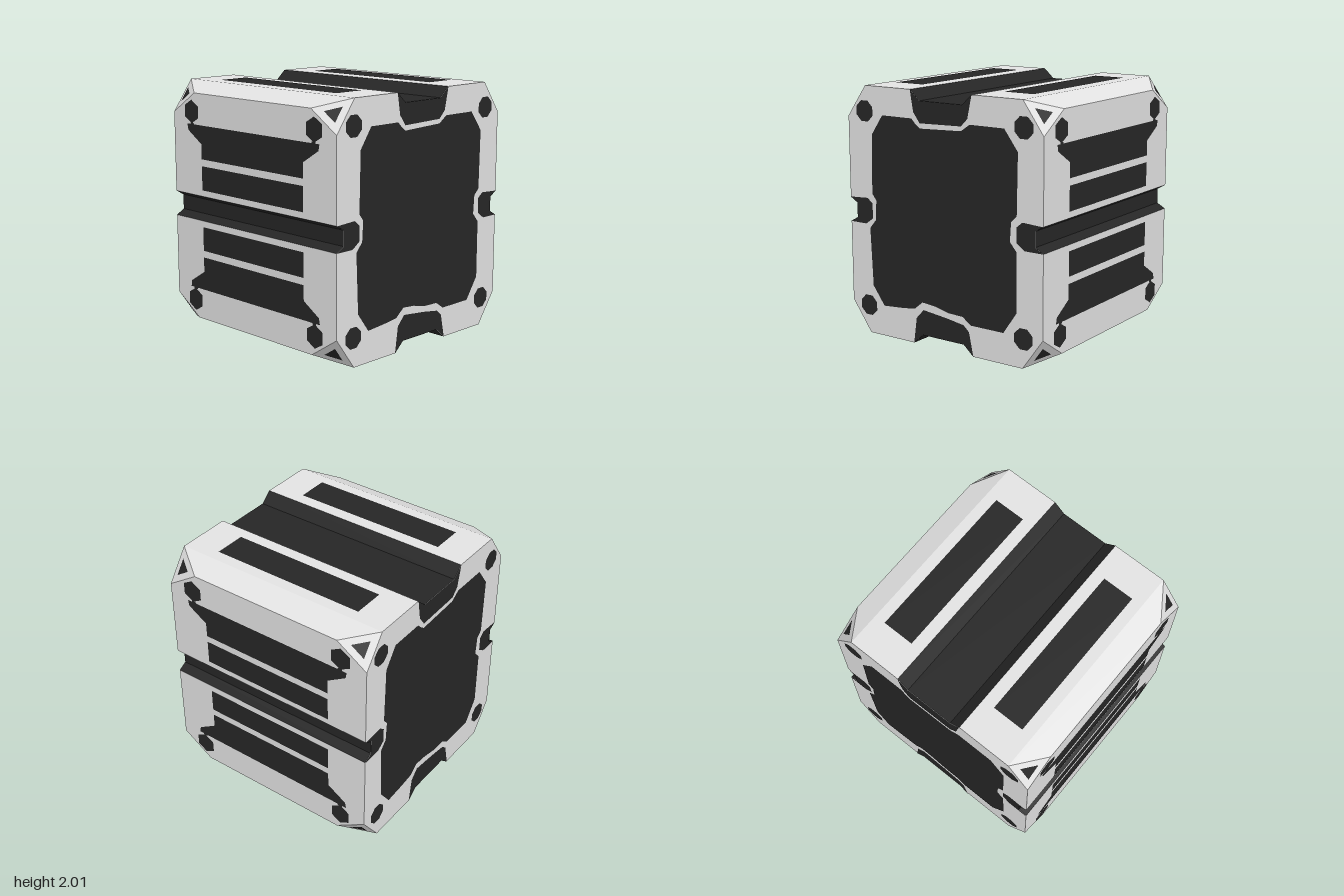
import * as THREE from 'three';

const shellMat = new THREE.MeshStandardMaterial({ color: 0xe2e2e2 });
shellMat.name = 'light grey shell';
const darkMat = new THREE.MeshStandardMaterial({ color: 0x262626 });
darkMat.name = 'near black inlay';

const W = 0.92;          // half width and half depth
const LIFT = 0.003;      // height of inlays above the shell
const SIGNS = [1, -1];

// Flat mesh from planar polygons (arrays of [x, y, z], y measured from the cube centre), facing outward
function faces(name, material, polygons, lift = 0) {
  const pos = [];
  for (const poly of polygons) {
    let p = poly.map((c) => new THREE.Vector3(...c));
    const normalOf = (q) => q.reduce((n, a, i) => n.add(a.clone().cross(q[(i + 1) % q.length])), new THREE.Vector3());
    const centre = p.reduce((s, a) => s.add(a), new THREE.Vector3());
    let n = normalOf(p).normalize();
    if (n.dot(centre) < 0) {
      p = p.reverse();
      n.negate();
    }
    // Two axes lying in the plane of the polygon
    const u = p[1].clone().sub(p[0]).normalize();
    const v = n.clone().cross(u);
    const flat = p.map((a) => new THREE.Vector2(a.dot(u), a.dot(v)));
    for (const tri of THREE.ShapeUtils.triangulateShape(flat, [])) {
      for (const i of tri) {
        const a = p[i].clone().addScaledVector(n, lift);
        pos.push(a.x, a.y + 1, a.z);
      }
    }
  }
  const geo = new THREE.BufferGeometry();
  geo.setAttribute('position', new THREE.Float32BufferAttribute(pos, 3));
  geo.computeVertexNormals();
  const mesh = new THREE.Mesh(geo, material);
  mesh.name = name;
  return mesh;
}

const disc = (cx, cy, r, sides, turn) => Array.from({ length: sides }, (_, i) => {
  const a = turn + (i / sides) * Math.PI * 2;
  return [cx + r * Math.cos(a), cy + r * Math.sin(a)];
});
const rect = (a0, a1, b0, b1) => [[a0, b0], [a1, b0], [a1, b1], [a0, b1]];

// Placement of 2D outlines on the faces of the cube
const onEnd = (pts, s) => pts.map(([x, y]) => [s * x, y, s * W]);
const onSide = (pts, s, sy = 1) => pts.map(([z, y]) => [s * W, sy * y, z]);
const onTop = (pts, s, sx = 1) => pts.map(([x, z]) => [sx * x, s, z]);

// One quarter of the end outline, with half of each groove
const quarter = [[0.85, 0.06], [W, 0.1], [W, 0.75], [0.74, 1], [0.29, 1], [0.2, 0.92]];
const flipX = (q) => q.map(([x, y]) => [-x, y]).reverse();
const upper = [...quarter, ...flipX(quarter)];
const endOutline = [...upper, ...upper.map(([x, y]) => [-x, -y])];

// Large end panel
const endPanel = [
  [-0.57, 0.78], [-0.28, 0.78], [-0.24, 0.74], [-0.2, 0.71], [0.19, 0.725], [0.27, 0.78], [0.58, 0.78],
  [0.7, 0.62], [0.69, 0.15], [0.64, 0.1], [0.63, -0.05], [0.69, -0.12], [0.69, -0.58], [0.57, -0.755],
  [0.27, -0.755], [0.19, -0.7], [0.05, -0.695], [-0.08, -0.665], [-0.2, -0.655], [-0.28, -0.72],
  [-0.4, -0.735], [-0.59, -0.75], [-0.7, -0.6], [-0.72, -0.13], [-0.66, -0.06], [-0.65, 0.1],
  [-0.69, 0.15], [-0.68, 0.62],
];
// Dark patches where the grooves run out onto the ends
const groovePatches = [
  [[-0.29, 1], [-0.26, 0.83], [-0.2, 0.75], [0.19, 0.76], [0.25, 0.82], [0.29, 1], [0.2, 0.92], [-0.2, 0.92]],
  [[-0.29, -1], [-0.26, -0.79], [-0.19, -0.715], [0.04, -0.74], [0.2, -0.765], [0.25, -0.81], [0.29, -1],
    [0.2, -0.92], [-0.2, -0.92]],
  ...SIGNS.map((s) => [[0.92, 0.1], [0.74, 0.11], [0.69, 0.07], [0.69, -0.05], [0.76, -0.1], [0.92, -0.1],
    [0.85, -0.06], [0.85, 0.06]].map(([x, y]) => [s * x, y])),
];

// Side panels, upper half
const ventTop = [[0.75, 0.67], [0.74, 0.62], [0.58, 0.52], [0.58, 0.4], [-0.58, 0.4], [-0.58, 0.52],
  [-0.74, 0.62], [-0.75, 0.67]];
const ventSlot = rect(-0.58, 0.58, 0.15, 0.345);

export function createModel() {
  const group = new THREE.Group();
  const add = (...args) => group.add(faces(...args));

  // Shell: ends, sides, top and bottom
  add('endFaces', shellMat, SIGNS.map((s) => onEnd(endOutline, s)));
  const sides = [], tops = [], bevels = [], corners = [], cornerInlays = [];
  const grooves = [], vents = [], sideStuds = [], topSlots = [], endStuds = [];
  for (const sx of SIGNS) {
    for (const sy of SIGNS) {
      sides.push(onSide([[W, 0.1], [W, 0.75], [0.66, 0.92], [-0.66, 0.92], [-W, 0.75], [-W, 0.1]], sx, sy));
      tops.push(onTop(rect(0.29, 0.74, -W, W), sy, sx));
      bevels.push([[0.74, 1, W], [W, 0.92, 0.66], [W, 0.92, -0.66], [0.74, 1, -W]]
        .map(([x, y, z]) => [sx * x, sy * y, z]));

      // Sloping walls of the top, bottom and side grooves
      for (const [a, b] of [[[0.29, 1], [0.2, 0.92]], [[W, 0.1], [0.85, 0.06]]]) {
        grooves.push([[...a, W], [...b, W], [...b, -W], [...a, -W]].map(([x, y, z]) => [sx * x, sy * y, z]));
      }

      // Inlays of the sides, top and bottom
      vents.push(onSide(ventTop, sx, sy), onSide(ventSlot, sx, sy));
      topSlots.push(onTop(rect(0.39, 0.65, -0.65, 0.65), sy, sx));
      endStuds.push(disc(sx * 0.75, sy * 0.785 + 0.015, 0.088, 8, Math.PI / 8));

      for (const sz of SIGNS) {
        // Cut corner with a small triangle inlay
        const tri = [[W, 0.75, W], [W, 0.92, 0.66], [0.74, 1, W]].map(([x, y, z]) => [sx * x, sy * y, sz * z]);
        const mid = [0, 1, 2].map((k) => (tri[0][k] + tri[1][k] + tri[2][k]) / 3);
        corners.push(tri);
        cornerInlays.push(tri.map((c) => c.map((v, k) => mid[k] + (v - mid[k]) * 0.43)));
        // Six-sided stud with a narrow link to the vent
        sideStuds.push(onSide(disc(sz * 0.695, 0.77, 0.094, 6, Math.PI / 6), sx, sy));
        sideStuds.push(onSide(rect(sz * 0.69 - 0.02, sz * 0.69 + 0.02, 0.67, 0.682), sx, sy));
      }
    }
    // Groove floors
    grooves.push([[-0.2, 0.92 * sx, W], [0.2, 0.92 * sx, W], [0.2, 0.92 * sx, -W], [-0.2, 0.92 * sx, -W]]);
    grooves.push(onSide(rect(-W, W, -0.06, 0.06), sx).map(([x, y, z]) => [Math.sign(x) * 0.85, y, z]));
  }
  add('sideFaces', shellMat, sides);
  add('topAndBottomFaces', shellMat, tops);
  add('edgeBevels', shellMat, bevels);
  add('cutCorners', shellMat, corners);
  add('grooves', darkMat, grooves);

  // Inlays
  add('endPanels', darkMat, SIGNS.map((s) => onEnd(endPanel, s)), LIFT);
  add('grooveEnds', darkMat, SIGNS.flatMap((s) => groovePatches.map((p) => onEnd(p, s))), LIFT);
  add('endStuds', darkMat, SIGNS.flatMap((s) => endStuds.map((p) => onEnd(p, s))), LIFT);
  add('sideVents', darkMat, vents, LIFT);
  add('sideStuds', darkMat, sideStuds, LIFT);
  add('topAndBottomSlots', darkMat, topSlots, LIFT);
  add('cornerTriangles', darkMat, cornerInlays, LIFT);
  return group;
}
